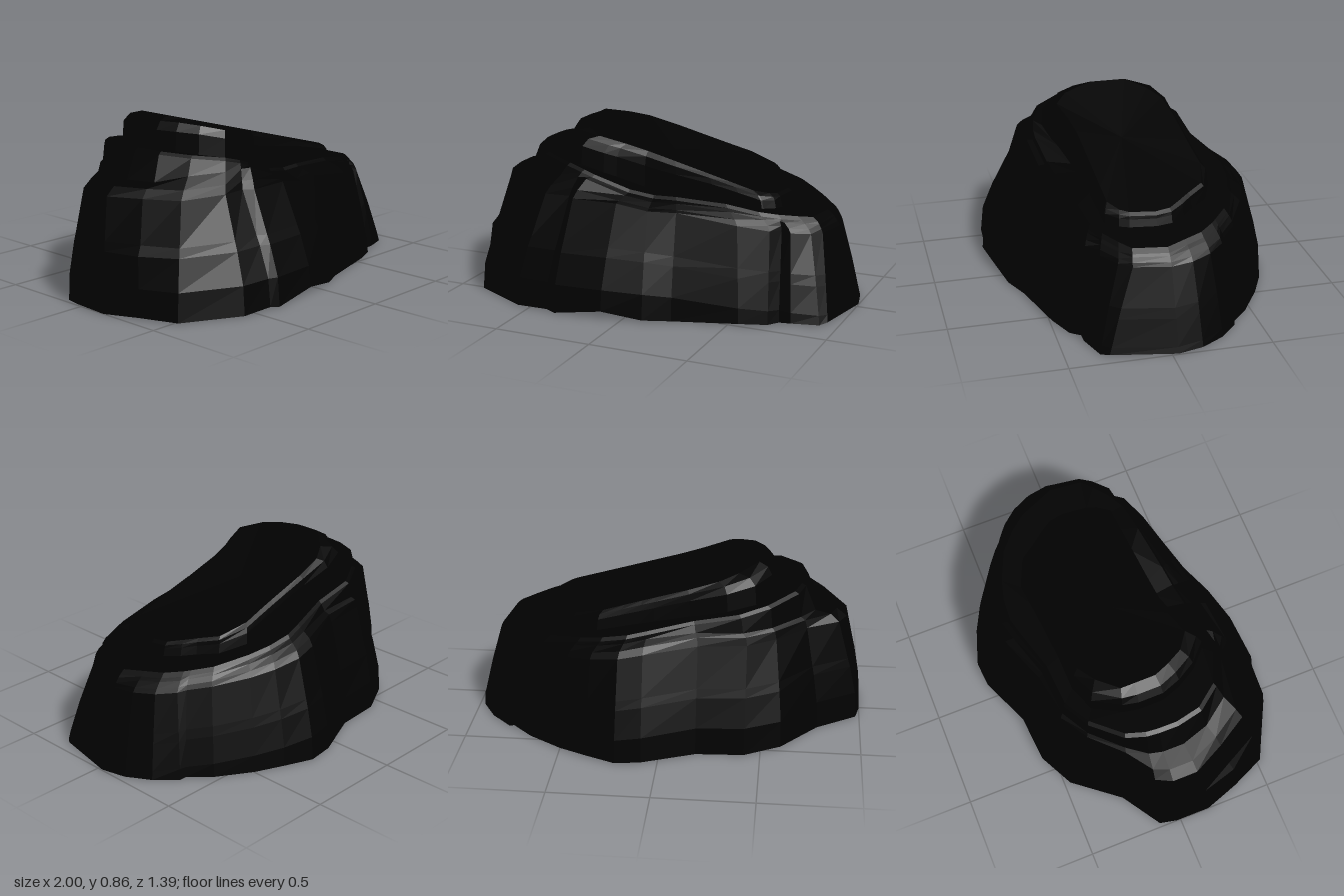
import * as THREE from 'three';

// Outlines are [x, z] pairs running clockwise as seen from above
const BASE = [[1, -.03], [.94, .29], [.91, .33], [.78, .38], [.72, .38], [.68, .43], [.55, .49], [.23, .57],
  [.1, .63], [-.1, .68], [-.35, .695], [-.4, .68], [-.57, .67], [-.86, .52], [-.94, .34], [-1, .16],
  [-1, -.02], [-.98, -.11], [-.78, -.24], [-.6, -.47], [-.42, -.56], [-.18, -.58], [.08, -.69], [.21, -.7],
  [.36, -.65], [.5, -.58], [.67, -.47], [.77, -.38], [.8, -.37], [.9, -.28], [.97, -.16]];
const EDGE = [[.89, -.02], [.86, .16], [.82, .22], [.74, .29], [.69, .28], [.65, .34], [.5, .39], [.2, .44],
  [.06, .47], [-.1, .49], [-.33, .51], [-.37, .47], [-.5, .48], [-.735, .42], [-.83, .26], [-.91, .1],
  [-.91, -.03], [-.87, -.11], [-.71, -.2], [-.56, -.35], [-.42, -.44], [-.18, -.47], [.08, -.57], [.2, -.59],
  [.34, -.56], [.46, -.51], [.62, -.41], [.71, -.33], [.75, -.31], [.82, -.23], [.87, -.13]];
const SHOULDER = [[.86, 0], [.83, .16], [.7, .26], [.6, .31], [.3, .35], [0, .38], [-.3, .42], [-.5, .385],
  [-.66, .28], [-.71, .05], [-.69, -.15], [-.58, -.3], [-.4, -.405], [-.1, -.42], [.08, -.48], [.22, -.51],
  [.45, -.45], [.6, -.38], [.75, -.24]];
const SLAB = [[.65, 0], [.63, .15], [.57, .23], [.3, .24], [-.1, .26], [-.35, .36], [-.45, .27], [-.55, .1],
  [-.55, -.12], [-.45, -.29], [-.37, -.33], [-.15, -.33], [.15, -.35], [.37, -.37], [.45, -.33], [.55, -.2],
  [.63, -.12]];
const TOP = [[.62, 0], [.6, .13], [.54, .2], [.3, .21], [-.1, .23], [-.29, .28], [-.36, .25], [-.46, .07],
  [-.46, -.14], [-.35, -.24], [-.24, -.3], [.15, -.32], [.37, -.34], [.44, -.3], [.53, -.18], [.6, -.1]];

// Point where the ray from the centre through p crosses an outline
function cast(outline, [px, pz]) {
  for (let i = 0; i < outline.length; i++) {
    const [ax, az] = outline[i], [bx, bz] = outline[(i + 1) % outline.length];
    const ca = px * az - pz * ax, cb = px * bz - pz * bx;
    if (ca <= 0 && cb > 0) {
      const t = ca / (ca - cb), x = ax + (bx - ax) * t, z = az + (bz - az) * t;
      if (x * px + z * pz > 0) return [x, z];
    }
  }
  return [px, pz];
}

const mix = (A, B, t) => A.map(([x, z], i) => [x + (B[i][0] - x) * t, z + (B[i][1] - z) * t]);
const scale = (A, s) => A.map(([x, z]) => [x * s, z * s]);
const raise = (A, height) => A.map(([x, z], i) => [x, height(x, z, i), z]);

// the ledge slopes down to the left end and dips in the middle of the front
const ledgeY = (x, z) => .625 - .17 * x - (z > .1 ? .06 * Math.max(0, 1 - Math.abs(x + .02) / .35) : 0);
const topY = x => Math.min(.872, .746 - .27 * x);
const slabY = t => (x, z) => ledgeY(x, z) + t * (topY(x) - ledgeY(x, z));

function rockRings() {
  const [shoulder, slab, top] = [SHOULDER, SLAB, TOP].map(outline => EDGE.map(p => cast(outline, p)));
  // the foot of one corner sticks out below a notch
  const foot = mix(BASE, EDGE, .38).map(([x, z], i) => (i === 14 ? [x * 1.02, z * 1.02] : [x, z]));
  return [
    // open rim and steep sides
    raise(BASE, (x, z, i) => (i === 9 ? .045 : .01 + .004 * Math.sin(i * 2.4))),
    raise(mix(BASE, EDGE, .08), x => .15 - .11 * Math.max(0, x)),
    raise(foot, x => .3 - .13 * Math.max(0, x)),
    raise(mix(BASE, EDGE, .5), x => .345 - .125 * Math.max(0, x)),
    // bevelled edge and the low step at the right end
    raise(EDGE, (x, z) => Math.min(.55 - .15 * Math.max(0, x), ledgeY(x, z) - .05)),
    raise(mix(EDGE, shoulder, .25), (x, z) => Math.min(.59, ledgeY(x, z) - .04)),
    raise(mix(EDGE, shoulder, .7), (x, z) => Math.min(z > .3 ? .64 : .605, ledgeY(x, z) - .02)),
    // sloping ledge
    raise(shoulder, (x, z) => ledgeY(x, z) - .01),
    raise(scale(shoulder, .97), (x, z) => ledgeY(x, z) + .005),
    // tilted top slab
    raise(slab, ledgeY),
    raise(scale(slab, .985), slabY(.6)),
    raise(mix(slab, top, .4), slabY(.86)),
    raise(top, topY),
  ];
}

function skin(rings) {
  const n = BASE.length, positions = rings.flat(2), index = [];
  for (let r = 0; r < rings.length - 1; r++) {
    for (let i = 0; i < n; i++) {
      const a = r * n + i, b = r * n + (i + 1) % n;
      index.push(a, a + n, b, b, a + n, b + n);
    }
  }
  // close the top
  const last = (rings.length - 1) * n, centre = rings.length * n;
  const meanY = rings.at(-1).reduce((sum, p) => sum + p[1], 0) / n;
  positions.push(0, Math.min(meanY, topY(0)), 0);
  for (let i = 0; i < n; i++) index.push(last + i, centre, last + (i + 1) % n);

  const geometry = new THREE.BufferGeometry();
  geometry.setAttribute('position', new THREE.Float32BufferAttribute(positions, 3));
  geometry.setIndex(index);
  geometry.computeVertexNormals();
  return geometry;
}

export function createModel() {
  const group = new THREE.Group();
  group.name = 'rock';
  const rings = rockRings();
  const addSkin = (name, skinRings, color) => {
    const material = new THREE.MeshStandardMaterial({ color, flatShading: true, side: THREE.DoubleSide });
    const mesh = new THREE.Mesh(skin(skinRings), material);
    mesh.name = name;
    group.add(mesh);
  };

  // dark outside
  addSkin('rockShell', rings, 0x010101);
  // grey hollow inside, just within the shell
  addSkin('rockLining', rings.map(ring => ring.map(([x, y, z]) => [x * .985, y * .985, z * .985])), 0x757575);
  return group;
}
